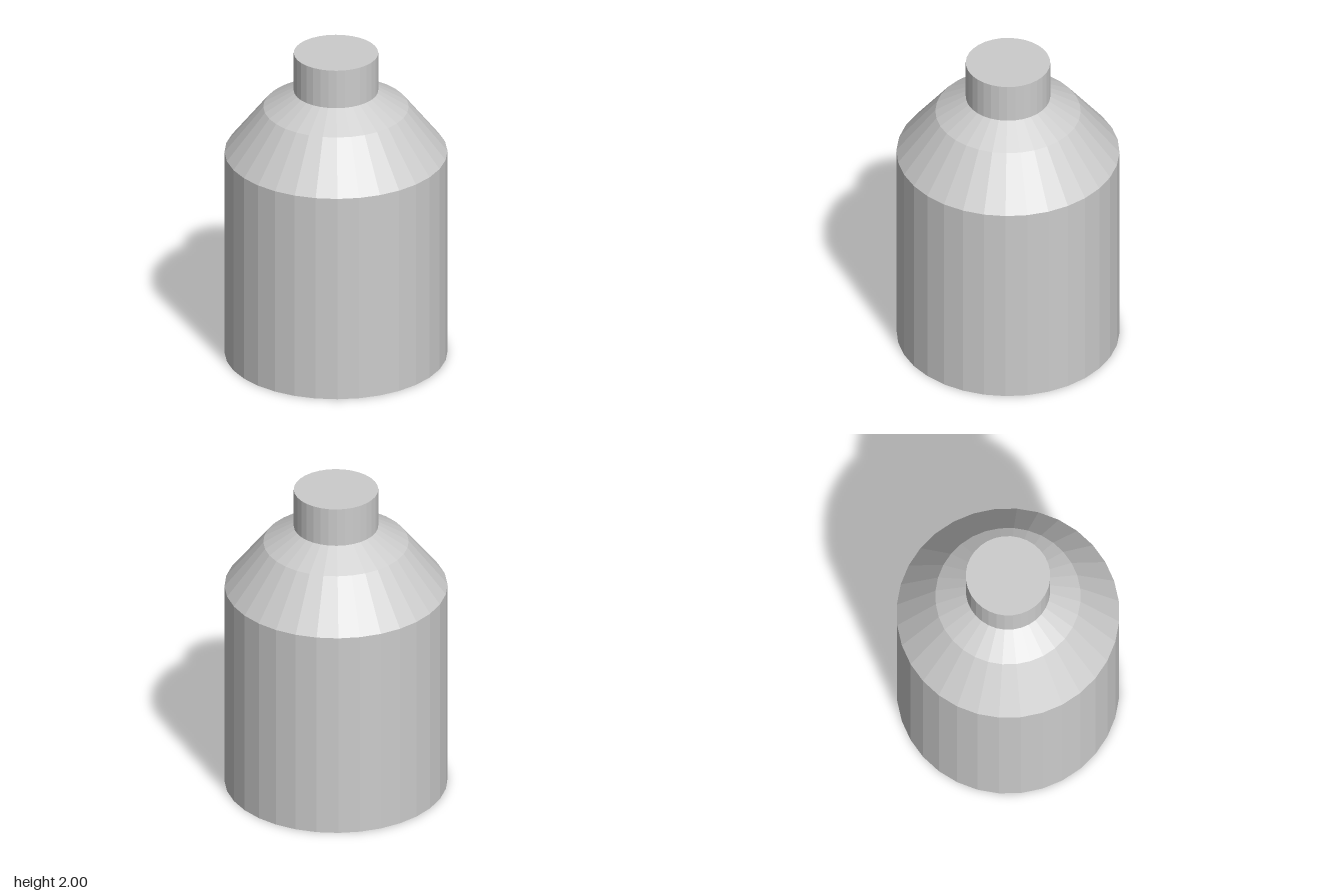
import * as THREE from 'three';

const SIDES = 32;
const material = new THREE.MeshStandardMaterial({ color: 0xcccccc, flatShading: true });

// Revolves a profile of [radius, height] pairs, listed from bottom to top
function turned(name, profile) {
  const points = profile.map(([r, y]) => new THREE.Vector2(r, y));
  const mesh = new THREE.Mesh(new THREE.LatheGeometry(points, SIDES), material);
  mesh.name = name;
  return mesh;
}

export function createModel() {
  const group = new THREE.Group();
  group.name = 'bottle';

  const bodyRadius = 0.675, bodyTop = 1.34;
  const neckRadius = 0.256, neckBase = 1.75;

  group.add(
    // Straight body with a closed base
    turned('body', [[0, 0], [bodyRadius, 0], [bodyRadius, bodyTop]]),
    // Shoulder narrowing in two slopes
    turned('shoulder', [[bodyRadius, bodyTop], [0.44, 1.64], [neckRadius, neckBase]]),
    // Neck with a flat closed top
    turned('neck', [[neckRadius, neckBase], [neckRadius, 2], [0, 2]])
  );
  return group;
}
